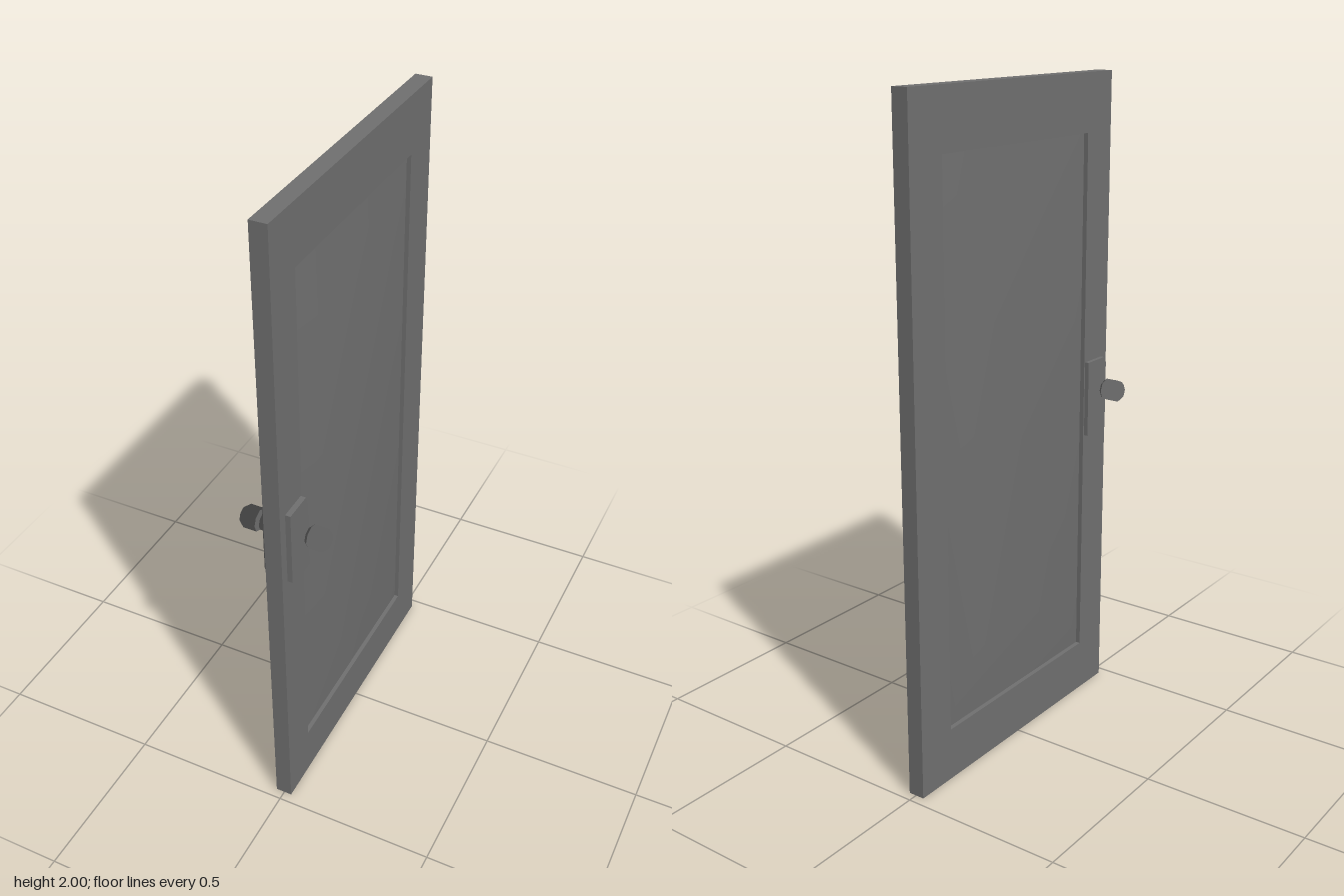
import * as THREE from 'three';
import { toCreasedNormals } from 'three/addons/utils/BufferGeometryUtils.js';
import { ConvexGeometry } from 'three/addons/geometries/ConvexGeometry.js';

const material = new THREE.MeshStandardMaterial({ color: 0x707070 });

function addMesh(parent, name, geometry) {
  const mesh = new THREE.Mesh(geometry, material);
  mesh.name = name;
  parent.add(mesh);
  return mesh;
}

// Slab lying across x: a full-size rim at +-rimX, rising to a smaller face at +-faceX.
function raisedSlab(height, width, rimX, faceX, insetY, insetZ) {
  const points = [];
  for (const side of [-1, 1]) {
    for (const sy of [-1, 1]) {
      for (const sz of [-1, 1]) {
        points.push(new THREE.Vector3(side * rimX, sy * height / 2, sz * width / 2));
        points.push(new THREE.Vector3(side * faceX, sy * (height / 2 - insetY), sz * (width / 2 - insetZ)));
      }
    }
  }
  return toCreasedNormals(new ConvexGeometry(points), Math.PI / 6);
}

// Shade the bevels as one with the outer face: normals leaning outward by at least minX turn to +-x.
function shadeOutward(geometry, minX) {
  const { position, normal } = geometry.attributes;
  for (let i = 0; i < normal.count; i++) {
    if (Math.abs(normal.getX(i)) >= minX) normal.setXYZ(i, Math.sign(position.getX(i)), 0, 0);
  }
  return geometry;
}

function rectangle(PathType, z0, y0, z1, y1) {
  return new PathType([[z0, y0], [z1, y0], [z1, y1], [z0, y1]].map(([a, b]) => new THREE.Vector2(a, b)));
}

export function createModel() {
  const door = new THREE.Group();
  door.name = 'door';

  // Frame: drawn with the shape's x axis along -z, extruded through the thickness
  const thickness = 0.051;
  const outline = rectangle(THREE.Shape, -0.471, 0, 0.471, 2);
  outline.holes.push(rectangle(THREE.Path, -0.347, 0.163, 0.339, 1.826));
  const frameGeometry = new THREE.ExtrudeGeometry(outline, { depth: thickness, bevelEnabled: false });
  frameGeometry.translate(0, 0, -thickness / 2).rotateY(Math.PI / 2);
  addMesh(door, 'frame', frameGeometry).position.x = -0.0015;

  // Raised panel, sunk at its rim and standing just proud in the middle
  const panel = addMesh(door, 'panel', raisedSlab(1.663, 0.686, 0.012, 0.029, 0.21, 0.12));
  panel.position.set(-0.001, 0.9945, 0.004);

  // Lock plate, bevelled on both faces
  addMesh(door, 'lockPlate', shadeOutward(raisedSlab(0.238, 0.09, 0.04, 0.0525, 0.012, 0.01), 0.3))
    .position.set(0, 1.007, 0.397);

  // Eight-sided knobs, one on each face
  const profile = [[0.026, 0.045], [0.026, 0.07], [0.034, 0.079], [0.034, 0.12], [0.025, 0.131], [0, 0.131]]
    .map(([r, h]) => new THREE.Vector2(r, h));
  for (const [name, side] of [['leftKnob', 1], ['rightKnob', -1]]) {
    const geometry = new THREE.LatheGeometry(profile, 8);
    geometry.rotateZ(-side * Math.PI / 2);
    addMesh(door, name, shadeOutward(geometry, 0)).position.set(0, 1.038, 0.397);
  }

  return door;
}
